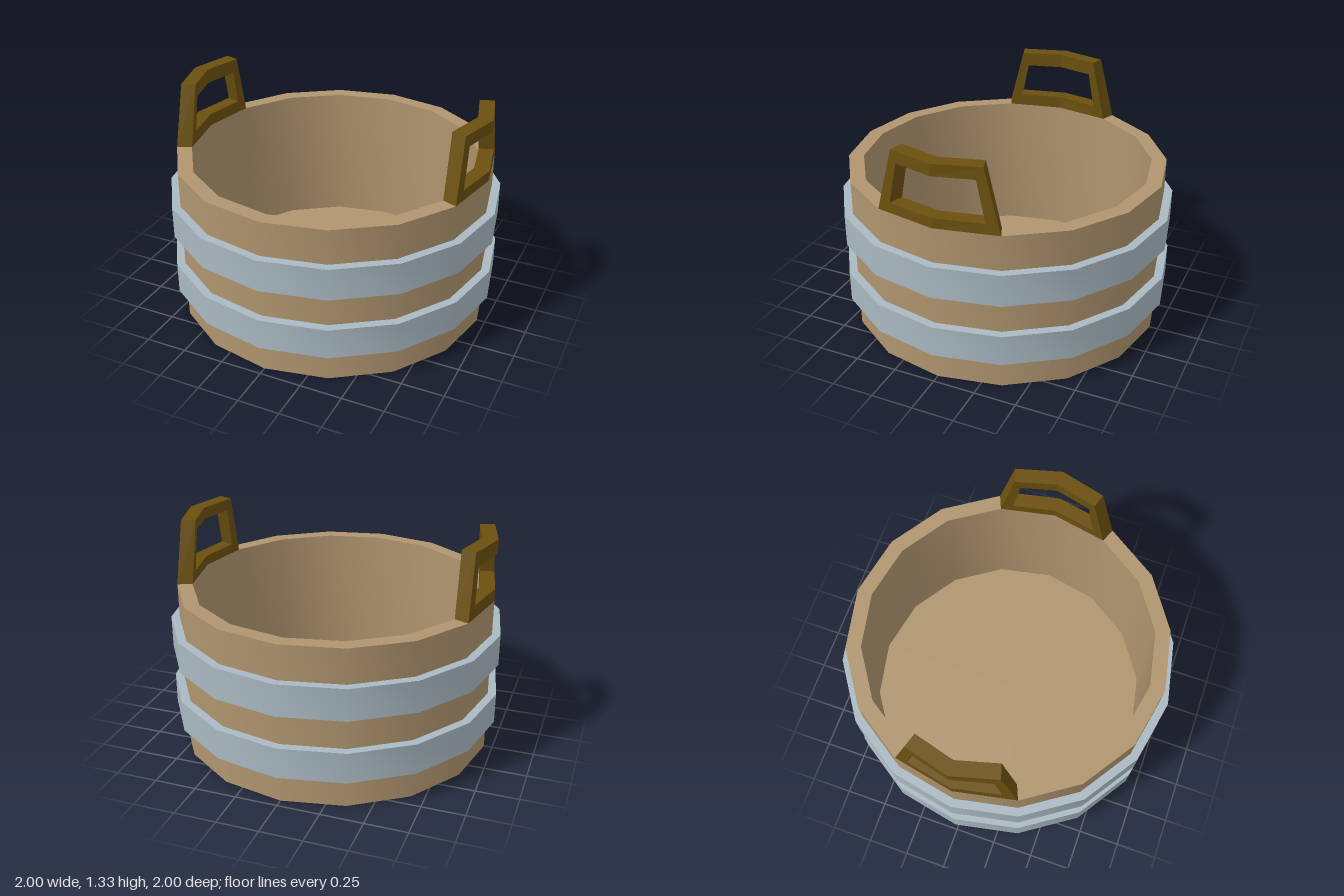
import * as THREE from 'three';
import { toCreasedNormals } from 'three/addons/utils/BufferGeometryUtils.js';

const SIDES = 16;
const OUTER = 0.95, INNER = 0.86, RIM = 0.955, TOP = 1.325;

const wood = new THREE.MeshStandardMaterial({ color: 0xb0956f });
const metal = new THREE.MeshStandardMaterial({ color: 0xa9b9c2 });
const darkWood = new THREE.MeshStandardMaterial({ color: 0x6b500f });

// Sixteen-sided turned part, smooth around but sharp at the profile corners
function turned(name, profile, material) {
  const points = profile.map(([r, y]) => new THREE.Vector2(r, y));
  const geometry = toCreasedNormals(new THREE.LatheGeometry(points, SIDES), 0.6);
  const mesh = new THREE.Mesh(geometry, material);
  mesh.name = name;
  return mesh;
}

// Half of a handle: a C-shaped frame, bent onto the wall of the tub and tapered upwards
function handleHalf(side, low, high) {
  const hole = 0.81;
  const outline = [[0, RIM], [1, RIM], [1, TOP], [0, TOP], [0, high], [hole, high], [hole, low], [0, low]];
  const shape = new THREE.Shape(outline.map(([u, y]) => new THREE.Vector2(u * side, y)));
  const geometry = new THREE.ExtrudeGeometry(shape, { depth: 1, bevelEnabled: false });
  const pos = geometry.attributes.position;
  for (let i = 0; i < pos.count; i++) {
    const u = pos.getX(i), y = pos.getY(i), t = pos.getZ(i);
    const halfWidth = THREE.MathUtils.mapLinear(y, RIM, TOP, 0.363, 0.267);
    const radius = THREE.MathUtils.lerp(INNER, OUTER, t);
    pos.setXYZ(i, radius * (1 - 0.076 * Math.abs(u)), y, -u * halfWidth * radius / OUTER);
  }
  geometry.computeVertexNormals();
  const mesh = new THREE.Mesh(geometry, darkWood);
  mesh.name = side > 0 ? 'handleBackHalf' : 'handleFrontHalf';
  return mesh;
}

function handle(name, angle, low, high) {
  const group = new THREE.Group();
  group.name = name;
  group.add(handleHalf(1, low, high), handleHalf(-1, low, high));
  group.rotation.y = angle;
  return group;
}

export function createModel() {
  const model = new THREE.Group();
  model.name = 'washTub';

  // Hollow tub with a thick wall and floor
  model.add(turned('tub', [[0, 0], [OUTER, 0], [OUTER, RIM], [INNER, RIM], [INNER, 0.09], [0, 0.09]], wood));

  // Two metal hoops
  const hoops = { lowerHoop: [0.178, 0.363], upperHoop: [0.557, 0.748] };
  for (const [name, [y0, y1]] of Object.entries(hoops)) {
    model.add(turned(name, [[0.94, y0], [1, y0], [1, y1], [0.94, y1]], metal));
  }

  // Opposite handles standing on the rim
  model.add(handle('leftHandle', 0, 1.015, 1.255));
  model.add(handle('rightHandle', Math.PI, 1.03, 1.24));
  return model;
}
